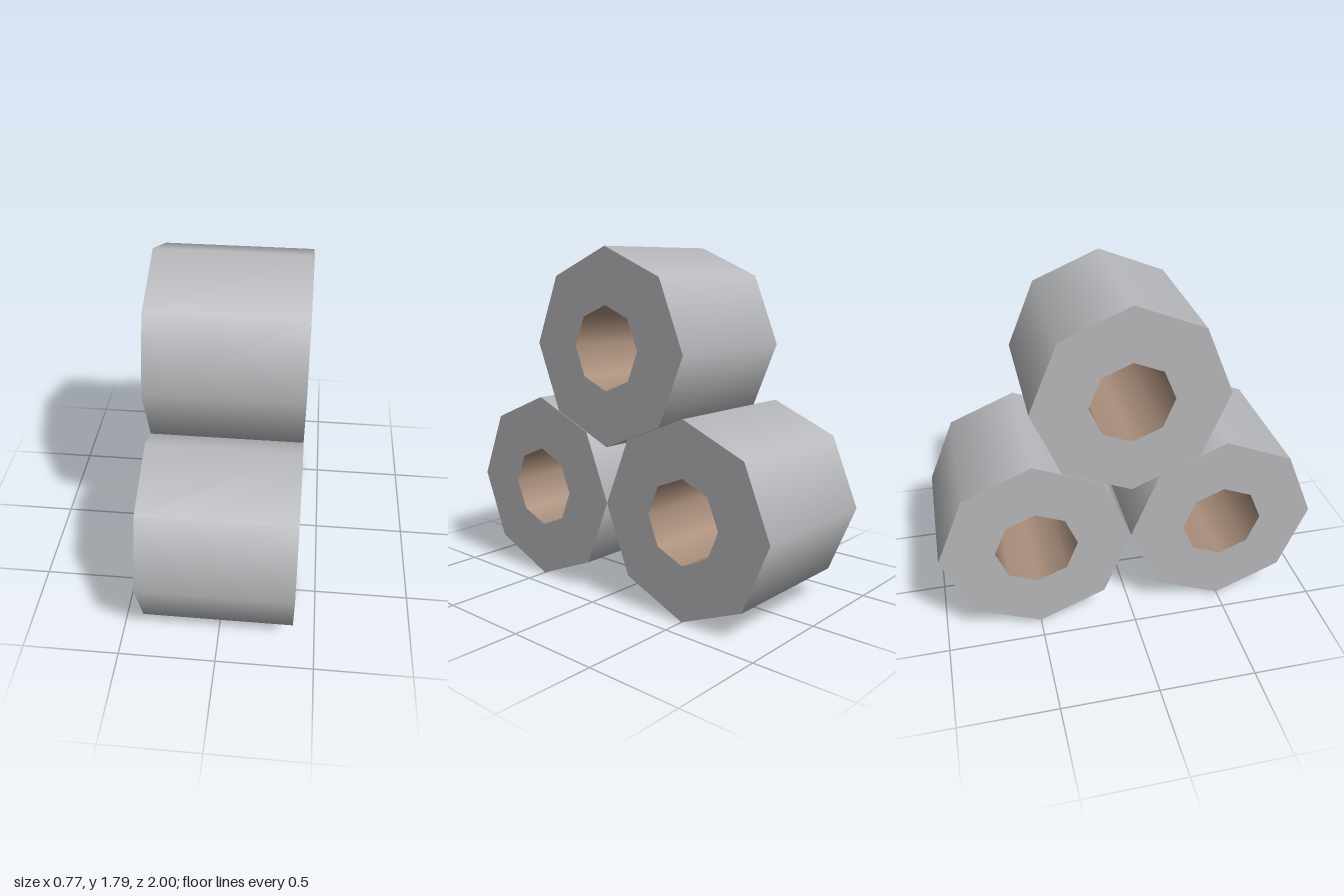
import * as THREE from 'three';

const OUTER = 0.5, BORE = 0.215, HALF = 0.385, SIDES = 8;

// Eight-sided surface of revolution lying along x
function turned(name, points, material) {
  const geometry = new THREE.LatheGeometry(points.map(([r, y]) => new THREE.Vector2(r, y)), SIDES);
  geometry.rotateZ(-Math.PI / 2);
  const mesh = new THREE.Mesh(geometry, material);
  mesh.name = name;
  return mesh;
}

// Hollow octagonal tube with smooth walls and flat end rings
function createTube(name, y, z, grey, tan) {
  const tube = new THREE.Group();
  tube.name = name;
  tube.add(
    turned('outerWall', [[OUTER, -HALF], [OUTER, HALF]], grey),
    turned('bore', [[BORE, HALF], [BORE, -HALF]], tan),
    turned('leftEnd', [[OUTER, HALF], [BORE, HALF]], grey),
    turned('rightEnd', [[BORE, -HALF], [OUTER, -HALF]], grey)
  );
  tube.position.set(0, y, z);
  return tube;
}

export function createModel() {
  const grey = new THREE.MeshStandardMaterial({ color: 0xb8b9bc });
  grey.name = 'lightGrey';
  const tan = new THREE.MeshStandardMaterial({ color: 0xab8f7c });
  tan.name = 'warmTan';

  // Two tubes side by side with a third resting on top
  const model = new THREE.Group();
  model.name = 'stackedTubes';
  model.add(
    createTube('frontTube', 0.5, 0.5, grey, tan),
    createTube('backTube', 0.5, -0.5, grey, tan),
    createTube('topTube', 1.295, 0, grey, tan)
  );
  return model;
}
